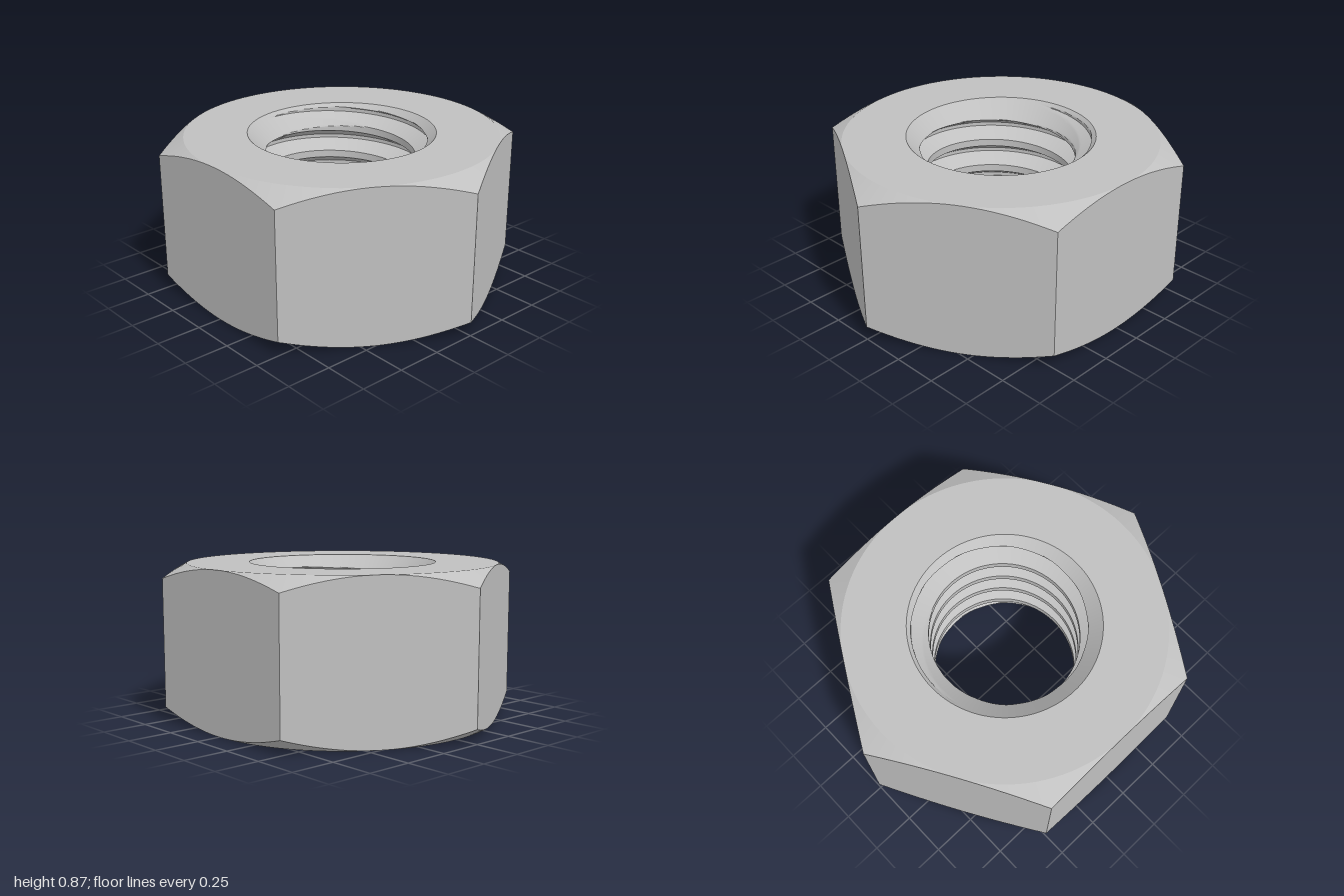
import * as THREE from 'three';
import { toCreasedNormals } from 'three/addons/utils/BufferGeometryUtils.js';

const HEIGHT = 0.866;      // overall height
const FLAT = 0.866;        // centre to flat, also the rim of the flat faces
const RIM = 0.52;          // countersink radius at the faces
const MINOR = 0.41;        // thread crest radius
const PITCH = HEIGHT / 5.2;
const DEPTH = 0.541 * PITCH;
const SEGMENTS = 120;      // divisible by 6, so every corner is hit

// Skins a closed ring from cross-sections: section(angle) returns [radius, y] points.
function ringLoft(section, crease) {
  const rings = [];
  for (let j = 0; j <= SEGMENTS; j++) {
    const a = (j / SEGMENTS) * Math.PI * 2;
    rings.push(section(a).map(([r, y]) => new THREE.Vector3(r * Math.sin(a), y, r * Math.cos(a))));
  }
  const positions = [];
  const triangle = new THREE.Triangle();
  const addTriangle = (a, b, c) => {
    if (triangle.set(a, b, c).getArea() < 1e-8) return;
    for (const p of [a, b, c]) positions.push(p.x, p.y, p.z);
  };
  for (let j = 0; j < SEGMENTS; j++) {
    const p = rings[j], q = rings[j + 1];
    for (let i = 0; i < p.length - 1; i++) {
      addTriangle(p[i], p[i + 1], q[i + 1]);
      addTriangle(p[i], q[i + 1], q[i]);
    }
  }
  const geometry = new THREE.BufferGeometry();
  geometry.setAttribute('position', new THREE.Float32BufferAttribute(positions, 3));
  return toCreasedNormals(geometry, crease);
}

// Flat faces, 30 degree corner chamfers and hexagon sides
function bodySection(a) {
  const sector = Math.PI / 3;
  const offset = (a % sector) - sector / 2;
  const outer = FLAT / Math.cos(offset);
  const drop = (outer - FLAT) * Math.tan(Math.PI / 6);
  return [
    [RIM, HEIGHT], [FLAT, HEIGHT], [outer, HEIGHT - drop],
    [outer, drop], [FLAT, 0], [RIM, 0],
  ];
}

// Thread radius by distance along the pitch (0 = middle of a crest)
function threadRadius(t) {
  const d = Math.abs(t - Math.round(t));   // 0 at crest, 0.5 at root
  return MINOR + DEPTH * THREE.MathUtils.clamp((d - 1 / 8) / (5 / 16), 0, 1);
}

// Helical thread, opened out by a 45 degree countersink at each end
function boreSection(a) {
  const steps = 32;
  const start = 0.016 + PITCH * (a / (Math.PI * 2));
  const points = [];
  for (let k = -2 * steps; k <= 6 * steps; k++) {
    const y = THREE.MathUtils.clamp(start + (k / steps) * PITCH, 0, HEIGHT);
    const cone = RIM - Math.min(y, HEIGHT - y);
    points.push([Math.max(cone, threadRadius((y - start) / PITCH)), y]);
  }
  return points;
}

export function createModel() {
  const steel = new THREE.MeshStandardMaterial({ color: 0xc0c0c0 });
  steel.name = 'steel grey';

  const nut = new THREE.Group();
  nut.name = 'hexNut';

  const body = new THREE.Mesh(ringLoft(bodySection, 0.4), steel);
  body.name = 'hexBody';

  const bore = new THREE.Mesh(ringLoft(boreSection, 0.4), steel);
  bore.name = 'threadedBore';

  nut.add(body, bore);
  return nut;
}
